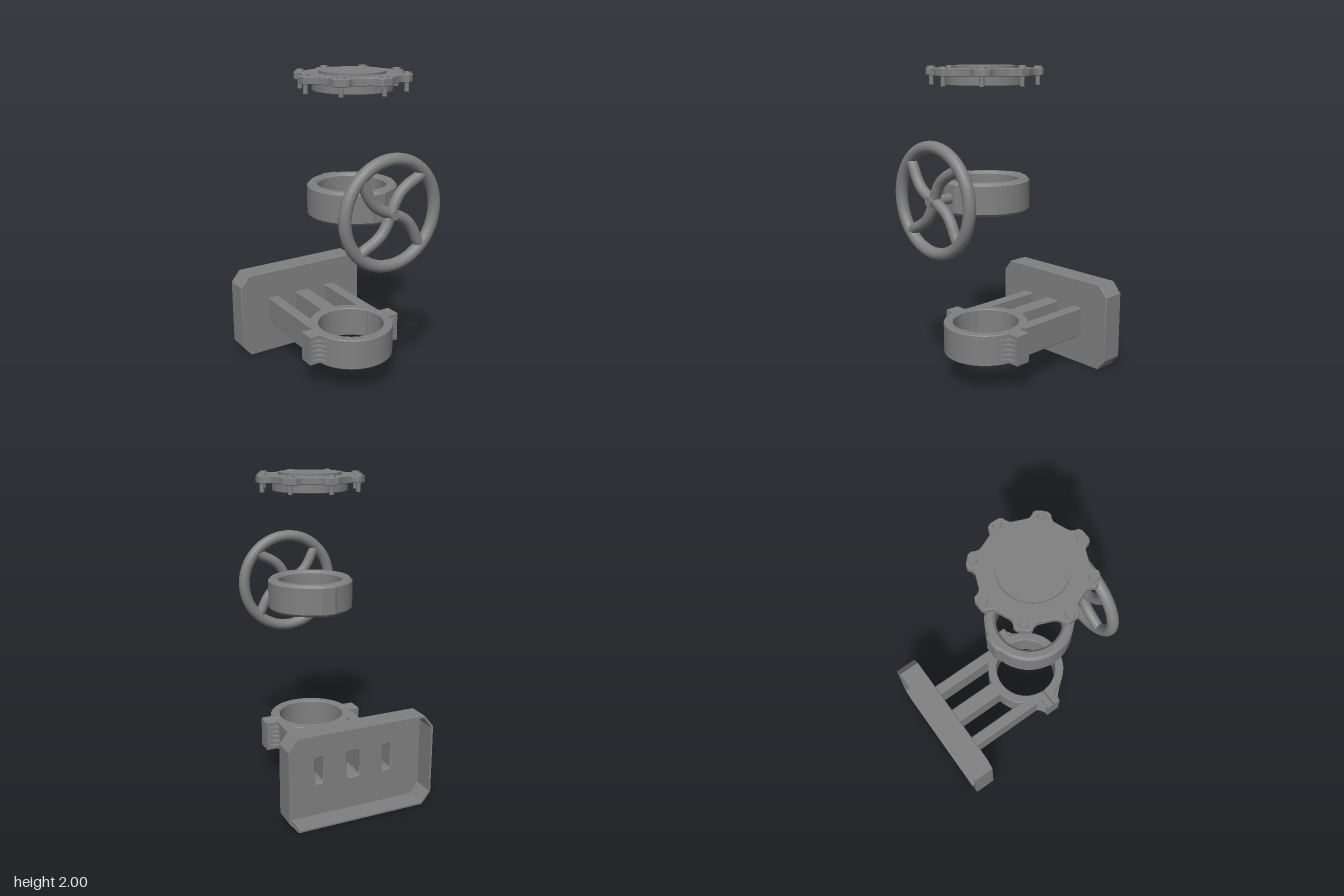
import * as THREE from 'three';
import { toCreasedNormals } from 'three/addons/utils/BufferGeometryUtils.js';

const material = new THREE.MeshStandardMaterial({ color: 0x808080 });
const AXIS_Z = 0.163; // common vertical axis of the clamp, collar and cover

function add(parent, name, geometry, x = 0, y = 0, z = 0) {
  const mesh = new THREE.Mesh(geometry, material);
  mesh.name = name;
  mesh.position.set(x, y, z);
  parent.add(mesh);
  return mesh;
}

function group(parent, name, x = 0, y = 0, z = 0) {
  const g = new THREE.Group();
  g.name = name;
  g.position.set(x, y, z);
  parent.add(g);
  return g;
}

// Extrusion along z with a small chamfer kept inside the outline
function extrude(shape, depth, bevel = 0) {
  const geometry = new THREE.ExtrudeGeometry(shape, {
    depth: depth - 2 * bevel, curveSegments: 40, bevelEnabled: bevel > 0,
    bevelThickness: bevel, bevelSize: bevel, bevelOffset: -bevel, bevelSegments: 1,
  });
  geometry.translate(0, 0, bevel);
  return toCreasedNormals(geometry, 0.5);
}

// Same, standing upright along y
const extrudeUp = (shape, depth, bevel) => extrude(shape, depth, bevel).rotateX(-Math.PI / 2);

const polygon = (points) => new THREE.Shape(points.map(([x, y]) => new THREE.Vector2(x, y)));

function circlePath(radius) {
  return new THREE.Path().absarc(0, 0, radius, 0, Math.PI * 2, true);
}

// Rectangle with cut corners
function cutRect(w, h, cx, cy, x = 0, y = 0) {
  const a = w / 2, b = h / 2;
  return polygon([[a, cy - b], [a, b - cy], [a - cx, b], [cx - a, b], [-a, b - cy], [-a, cy - b], [cx - a, -b], [a - cx, -b]]
    .map(([u, v]) => [u + x, v + y]));
}

function buildBracket(root) {
  const bracket = group(root, 'wallBracket');
  const arms = [[-0.227, 0.073, 0.08], [0, 0.104, -0.09], [0.227, 0.073, 0.08]];

  // Tray-shaped wall plate, open at the back
  const rim = cutRect(0.95, 0.59, 0.06, 0.075, 0, 0.295);
  rim.holes.push(cutRect(0.926, 0.566, 0.055, 0.07, 0, 0.295));
  add(bracket, 'plateRim', extrude(rim, 0.138), 0, 0, -0.61);
  const face = cutRect(0.95, 0.59, 0.06, 0.075, 0, 0.295);
  for (const [x, w] of arms) face.holes.push(cutRect(w - 0.016, 0.17, 0.01, 0.015, x, 0.3));
  add(bracket, 'plateFace', extrude(face, 0.013, 0.004), 0, 0, -0.477);

  // Hollow arms reaching from the plate to the clamp
  for (const [x, w, end] of arms) {
    const section = cutRect(w, 0.198, 0.007, 0.007, x, 0.3);
    section.holes.push(cutRect(w - 0.016, 0.17, 0.01, 0.015, x, 0.3));
    add(bracket, 'arm', extrude(section, end + 0.469), 0, 0, -0.469);
  }
}

function buildClamp(root) {
  const clamp = group(root, 'splitClamp', 0, 0.2, AXIS_Z);
  const outer = 0.27, inner = 0.21, gap = 0.003, flange = 0.05, tip = 0.337;
  const a = Math.asin(flange / outer), b = Math.asin(gap / inner);

  for (const turn of [0, Math.PI]) {
    const half = group(clamp, turn ? 'frontHalf' : 'rearHalf');
    half.rotation.y = turn;
    // Half ring with a bolting flange at either end
    const shape = new THREE.Shape();
    shape.moveTo(tip, gap);
    shape.lineTo(tip, flange);
    shape.absarc(0, 0, outer, a, Math.PI - a, false);
    shape.lineTo(-tip, flange);
    shape.lineTo(-tip, gap);
    shape.absarc(0, 0, inner, Math.PI - b, b, true);
    add(half, 'halfRing', extrudeUp(shape, 0.2, 0.005));

    // Five thin curved gussets stiffening each flange
    for (const side of [-1, 1]) {
      const points = [[0.24, 0.045], [0.328, 0.045], [0.318, 0.056], [0.285, 0.075], [0.268, 0.092], [0.256, 0.112], [0.23, 0.112]];
      const gusset = polygon(points.map(([x, y]) => [side * x, y]));
      for (let i = 0; i < 5; i++) add(half, 'gusset', extrudeUp(gusset, 0.008), 0, 0.031 + i * 0.0325, 0);
    }
  }
}

function buildCollar(root) {
  const collar = group(root, 'collar', 0, 1.133, AXIS_Z);
  // Ring with small flat pads at front and back
  const r = 0.272, pad = 0.284, w = 0.045, a = Math.acos(0.07 / r);
  const shape = new THREE.Shape();
  shape.absarc(0, 0, r, -a, a, false);
  shape.lineTo(w, pad);
  shape.lineTo(-w, pad);
  shape.absarc(0, 0, r, Math.PI - a, Math.PI + a, false);
  shape.lineTo(-w, -pad);
  shape.lineTo(w, -pad);
  shape.holes.push(circlePath(0.205));
  add(collar, 'collarRing', extrudeUp(shape, 0.2, 0.016));
}

function buildHandwheel(root) {
  const wheel = group(root, 'handwheel', 0, 1.233, 0.564);
  add(wheel, 'rim', new THREE.TorusGeometry(0.313, 0.037, 20, 80));
  add(wheel, 'shaft', new THREE.CylinderGeometry(0.031, 0.031, 0.15, 32).rotateX(Math.PI / 2), 0, 0, -0.065);
  add(wheel, 'hub', new THREE.CylinderGeometry(0.028, 0.028, 0.07, 32).rotateX(Math.PI / 2), 0, 0, 0.01);

  // Four swept spokes
  const path = new THREE.CatmullRomCurve3([[0, 0], [0.025, 0.058], [0.063, 0.115], [0.118, 0.157], [0.175, 0.185], [0.226, 0.214]]
    .map(([x, y]) => new THREE.Vector3(x, y, 0)));
  const spoke = new THREE.TubeGeometry(path, 32, 0.033, 16);
  for (let i = 0; i < 4; i++) add(wheel, 'spoke', spoke).rotation.z = i * Math.PI / 2;
}

function buildCover(root) {
  const cover = group(root, 'cover', 0, 0, AXIS_Z);
  // Plate with eight lobes, each given as (radius, offset) pairs
  const lobe = [[0.286, -0.082], [0.295, -0.066], [0.314, -0.054], [0.336, -0.048], [0.348, -0.028],
    [0.348, 0.028], [0.336, 0.048], [0.314, 0.054], [0.295, 0.066], [0.286, 0.082]];
  const outline = [];
  for (let i = 0; i < 8; i++) {
    const c = Math.cos(i * Math.PI / 4), s = Math.sin(i * Math.PI / 4);
    for (const [r, t] of lobe) outline.push([r * c - t * s, r * s + t * c]);
  }
  const plate = polygon(outline);
  plate.holes.push(circlePath(0.195));
  add(cover, 'lobedPlate', extrudeUp(plate, 0.043, 0.003), 0, 1.942, 0);

  // Raised centre and hollow locating skirt below
  add(cover, 'raisedDisc', new THREE.CylinderGeometry(0.197, 0.197, 0.022, 64), 0, 1.989, 0);
  const skirt = new THREE.Shape().absarc(0, 0, 0.237, 0, Math.PI * 2, false);
  skirt.holes.push(circlePath(0.205));
  add(cover, 'skirt', extrudeUp(skirt, 0.064, 0.005), 0, 1.885, 0);

  // Bolts through the lobes
  const shank = new THREE.CylinderGeometry(0.014, 0.014, 0.1, 16);
  const head = new THREE.CylinderGeometry(0.024, 0.026, 0.012, 24);
  for (let i = 0; i < 8; i++) {
    const x = 0.317 * Math.cos(i * Math.PI / 4), z = 0.317 * Math.sin(i * Math.PI / 4);
    const bolt = group(cover, 'bolt', x, 0, z);
    add(bolt, 'boltShank', shank, 0, 1.936, 0);
    add(bolt, 'boltHead', head, 0, 1.99, 0);
  }
}

export function createModel() {
  const root = new THREE.Group();
  root.name = 'explodedClampAssembly';
  buildBracket(root);
  buildClamp(root);
  buildCollar(root);
  buildHandwheel(root);
  buildCover(root);
  return root;
}
